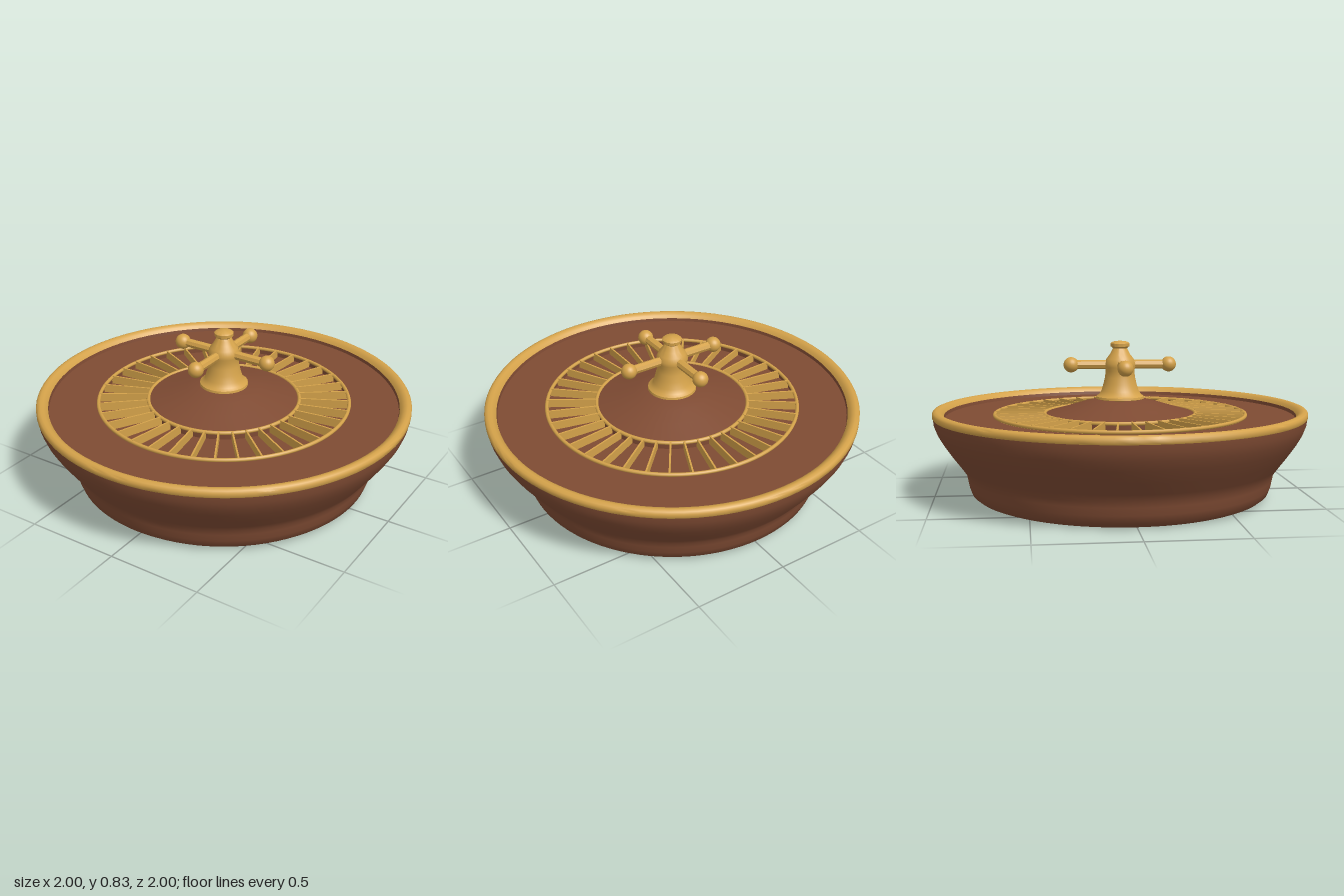
import * as THREE from 'three';
import { toCreasedNormals } from 'three/addons/utils/BufferGeometryUtils.js';

const wood = new THREE.MeshStandardMaterial({ color: 0x7f4b33 });
wood.name = 'brown wood';
const brass = new THREE.MeshStandardMaterial({ color: 0xd4a24a });
brass.name = 'brass';

function addMesh(parent, name, geometry, material, x = 0, y = 0, z = 0) {
  const mesh = new THREE.Mesh(geometry, material);
  mesh.name = name;
  mesh.position.set(x, y, z);
  parent.add(mesh);
  return mesh;
}

// Turned part: profile runs from bottom outside to top inside.
function turned(points, segments = 96, crease = 0.5) {
  const profile = points.map(([r, y]) => new THREE.Vector2(r, y));
  return toCreasedNormals(new THREE.LatheGeometry(profile, segments), crease);
}

export function createModel() {
  const model = new THREE.Group();
  model.name = 'rouletteWheel';

  // Bowl with a flared side and closed base
  addMesh(model, 'bowl', turned([
    [0, 0], [0.75, 0], [0.775, 0.01], [0.8, 0.03], [0.814, 0.07], [0.822, 0.11],
    [0.828, 0.14], [0.855, 0.178], [0.9, 0.238], [0.946, 0.305], [0.975, 0.355],
    [0.992, 0.4], [0.996, 0.435],
  ], 96, 0.7), wood);

  // Brass rim with a rounded top
  addMesh(model, 'rim', turned([
    [0.994, 0.432], [1, 0.44], [1, 0.46], [0.993, 0.47], [0.978, 0.476],
    [0.962, 0.472], [0.948, 0.462], [0.938, 0.448],
  ], 96, 0.7), brass);

  // Wooden track, recessed pocket floor and central cone
  addMesh(model, 'track', turned([
    [0.938, 0.448], [0.935, 0.43], [0.675, 0.43], [0.675, 0.405], [0.41, 0.405],
    [0.41, 0.438], [0.28, 0.475], [0.2, 0.5], [0.125, 0.519], [0, 0.522],
  ]), wood);

  // Brass rings on both sides of the pockets
  const rings = [['innerPocketRing', 0.407], ['outerPocketRing', 0.673]];
  for (const [name, radius] of rings) {
    const ring = new THREE.TorusGeometry(radius, 0.01, 8, 96);
    ring.rotateX(Math.PI / 2);
    addMesh(model, name, ring, brass, 0, 0.44, 0);
  }

  // Thin radial dividers between the pockets
  const dividers = new THREE.Group();
  dividers.name = 'pocketDividers';
  model.add(dividers);
  const dividerShape = new THREE.BoxGeometry(0.009, 0.047, 0.265);
  dividerShape.translate(0, 0.4275, 0.54);
  const pockets = 37;
  for (let i = 0; i < pockets; i++) {
    const divider = addMesh(dividers, 'divider', dividerShape, brass);
    divider.rotation.y = (i / pockets) * Math.PI * 2;
  }

  // Central spindle with a bell foot and a knob
  addMesh(model, 'spindle', turned([
    [0.118, 0.512], [0.13, 0.52], [0.128, 0.532], [0.113, 0.542], [0.1, 0.563],
    [0.089, 0.6], [0.081, 0.635], [0.077, 0.67], [0.083, 0.69], [0.083, 0.71],
    [0.073, 0.734], [0.055, 0.757], [0.044, 0.778], [0.037, 0.79], [0.05, 0.8],
    [0.051, 0.816], [0.04, 0.825], [0, 0.831],
  ], 40, 0.6), brass);

  // Four handles ending in balls
  const handles = new THREE.Group();
  handles.name = 'handles';
  handles.position.y = 0.703;
  model.add(handles);
  const bar = toCreasedNormals(new THREE.CylinderGeometry(0.024, 0.024, 0.25, 8), 0.5);
  bar.rotateX(Math.PI / 2);
  const ball = new THREE.SphereGeometry(0.041, 24, 16);
  for (let i = 0; i < 4; i++) {
    const handle = new THREE.Group();
    handle.name = 'handle';
    handle.rotation.y = (i * Math.PI) / 2;
    addMesh(handle, 'handleBar', bar, brass, 0, 0, 0.13);
    addMesh(handle, 'handleBall', ball, brass, 0, 0, 0.263);
    handles.add(handle);
  }

  return model;
}
